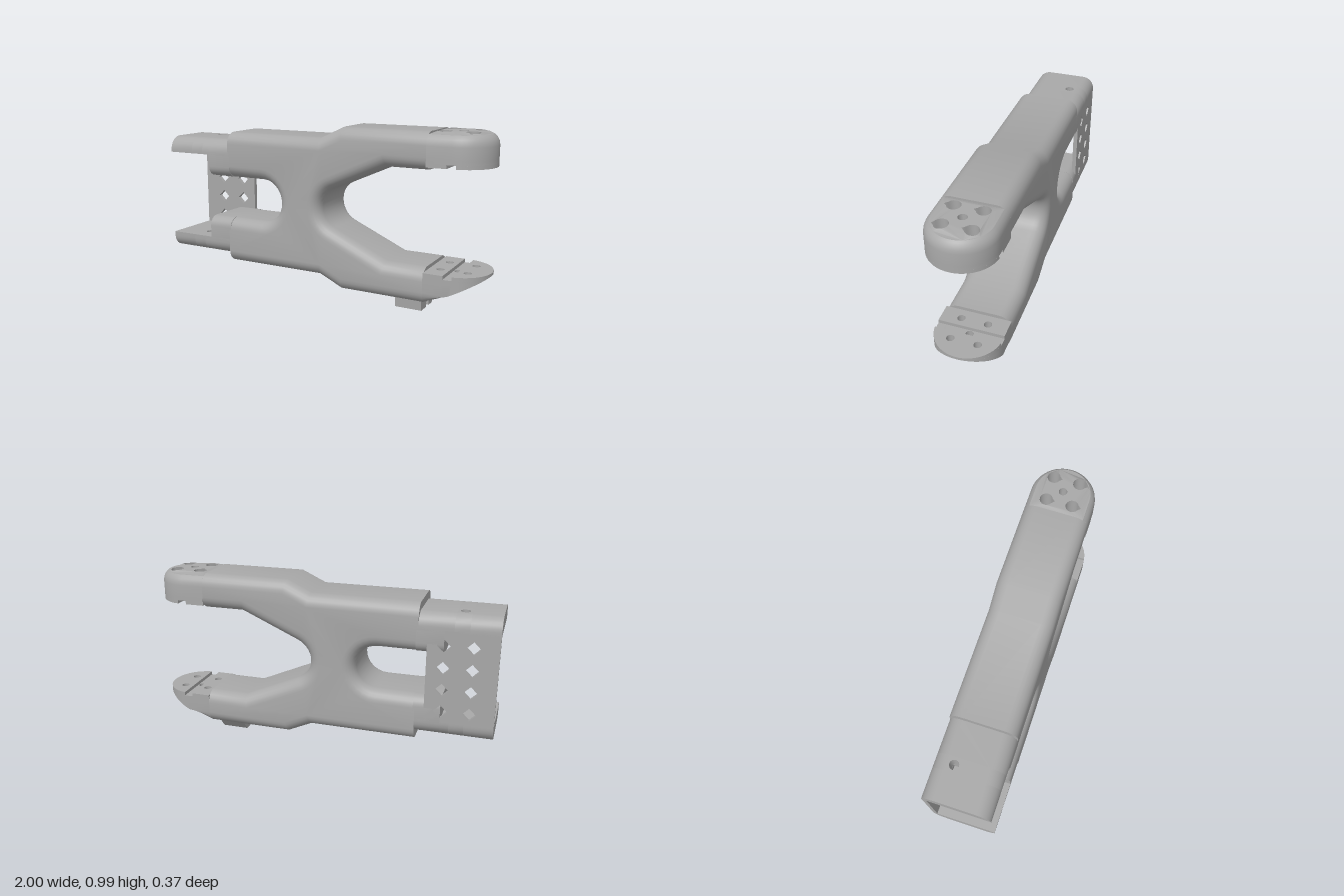
import * as THREE from 'three';
import { toCreasedNormals } from 'three/addons/utils/BufferGeometryUtils.js';

const HALF = 0.185, MID = 0.525, ROUND = 0.07, TIP_X = 0.815, TIP_START = 0.68;
const grey = new THREE.MeshStandardMaterial({ color: 0xa8a8a8 });
grey.name = 'grey plastic';

function part(name, geometry, parent) {
  const mesh = new THREE.Mesh(toCreasedNormals(geometry, 0.5), grey);
  mesh.name = name;
  parent.add(mesh);
  return mesh;
}
const shapeOf = (pts) => new THREE.Shape(pts.map(([a, b]) => new THREE.Vector2(a, b)));

// Section in (-z, y), extruded along x
function extrudeX(shape, x0, x1) {
  return new THREE.ExtrudeGeometry(shape, { depth: x1 - x0, bevelEnabled: false })
    .rotateY(Math.PI / 2).translate(x0, 0, 0);
}
// Plan in (x, -z), extruded along y
function extrudeY(shape, y0, y1) {
  return new THREE.ExtrudeGeometry(shape, { depth: y1 - y0, bevelEnabled: false })
    .rotateX(-Math.PI / 2).translate(0, y0, 0);
}
// Move every vertex by a rule
function bend(geo, rule) {
  const p = geo.attributes.position, v = new THREE.Vector3();
  for (let i = 0; i < p.count; i++) {
    rule(v.fromBufferAttribute(p, i));
    p.setXYZ(i, v.x, v.y, v.z);
  }
  return geo;
}

// Rectangular section with individually rounded corners
function section(y0, y1, z0, z1, rBack, rFront, rBottom) {
  const pts = [];
  [[-z0, y1, rBack, 1, 1], [-z1, y1, rFront, -1, 1], [-z1, y0, rBottom, -1, -1], [-z0, y0, rBottom, 1, -1]]
    .forEach(([u, y, r, su, sy], k) => {
      const n = r ? 6 : 0;
      for (let i = 0; i <= n; i++) {
        const a = (k + (n ? i / n : 0)) * Math.PI / 2;
        pts.push(r ? [u - su * r + r * Math.cos(a), y - sy * r + r * Math.sin(a)] : [u, y]);
      }
    });
  return shapeOf(pts);
}

// Round-ended plan of an arm tip between xa and xb
function tipPlan(R, xa, xb) {
  if (xb < TIP_X) return [[xa, R], [xb, R], [xb, -R], [xa, -R]];
  const a0 = xa > TIP_X ? Math.acos((xa - TIP_X) / R) : Math.PI / 2;
  const pts = [];
  for (let i = 0; i <= 24; i++) {
    const a = a0 - (2 * a0 * i) / 24;
    pts.push([TIP_X + R * Math.cos(a), R * Math.sin(a)]);
  }
  return xa < TIP_X ? [[xa, R], ...pts, [xa, -R]] : pts;
}

// Hole with an optional pointed side
function hole(x, s, r, point = 0) {
  const pts = [];
  for (let i = 0; i < 16; i++) {
    const a = (i / 16) * Math.PI * 2;
    const k = point && i === (point > 0 ? 12 : 4) ? 1.35 : 1;
    pts.push(new THREE.Vector2(x + r * k * Math.cos(a), s + r * k * Math.sin(a)));
  }
  return new THREE.Path(pts);
}
function screwHoles(shape, r, point, x0 = 0, x1 = 1) {
  for (const x of [0.74, 0.89]) for (const s of [-0.075, 0.075])
    if (x > x0 && x < x1) shape.holes.push(hole(x, s, r, point));
  return shape;
}

// Arm tip with grooved seat, screw holes and rounded rim; slope cuts the outer face
function armTip(name, slope, point) {
  const tip = new THREE.Group();
  tip.name = name;
  const cut = (v) => { v.y = Math.min(v.y, 0.985 - slope * (v.x - TIP_START)); };
  const drop = (d) => (d >= ROUND ? 0 : ROUND - Math.sqrt(ROUND ** 2 - (ROUND - d) ** 2));

  for (const [xa, xb] of [[TIP_START, 0.79], [0.84, 1]])
    part('seatPad', bend(extrudeY(screwHoles(shapeOf(tipPlan(HALF, xa, xb)), 0.022, 0, xa, xb), 0.805, 0.825), cut), tip);

  const plate = screwHoles(shapeOf(tipPlan(HALF, TIP_START, 1)), 0.022, 0);
  plate.holes.push(hole(TIP_X, 0, 0.022));
  part('seatPlate', bend(extrudeY(plate, 0.825, 0.845), cut), tip);

  const lid = screwHoles(shapeOf(tipPlan(HALF - 0.03, TIP_START, 1)), 0.037, point);
  lid.holes.push(hole(TIP_X, 0, 0.024));
  part('tipCore', bend(extrudeY(lid, 0.845, 0.985), (v) => {
    if (v.y > 0.95) v.y -= drop(HALF - Math.hypot(Math.max(0, v.x - TIP_X), v.z));
    cut(v);
  }), tip);

  const rows = [[0, 0.845], ...[0, 0.003, 0.01, 0.02, 0.03].map((d) => [d, 0.985 - drop(d)])];
  const pos = [], idx = [];
  let n = 0;
  rows.forEach(([d, y], j) => {
    const pts = tipPlan(HALF - d, TIP_START, 1);
    n = pts.length;
    pts.forEach(([x, s], i) => {
      pos.push(x, y, -s);
      if (j < rows.length - 1 && i < n - 1) {
        const a = j * n + i;
        idx.push(a, a + n, a + 1, a + 1, a + n, a + n + 1);
      }
    });
  });
  const rim = new THREE.BufferGeometry();
  rim.setAttribute('position', new THREE.Float32BufferAttribute(pos, 3));
  rim.setIndex(idx);
  part('tipRim', bend(rim, cut), tip);
  return tip;
}

// Upper flange and arm stub behind the step
function rearFlange(name) {
  const g = new THREE.Group();
  g.name = name;
  const y0 = 0.78, y1 = 0.875;
  part('flangeEnd', extrudeX(section(y0, y1, -HALF, HALF, 0.07, 0.08, 0), -1, -0.84), g);
  part('flangeInner', extrudeX(section(y0, y1, -HALF, HALF, 0.07, 0.08, 0), -0.76, -0.56), g);
  part('flangeBack', extrudeX(section(y0, y1, -HALF, -0.115, 0.07, 0, 0), -0.84, -0.76), g);
  part('flangeFront', extrudeX(section(y0, y1, -0.035, HALF, 0, 0.08, 0), -0.84, -0.76), g);
  const boss = shapeOf([[-0.84, 0.035], [-0.76, 0.035], [-0.76, 0.115], [-0.84, 0.115]]);
  boss.holes.push(hole(-0.8, 0.075, 0.026));
  part('flangeHole', extrudeY(boss, y0, y1), g);
  part('armStub', extrudeX(section(0.65, y1, -HALF, HALF, 0.07, 0.08, 0.06), -0.71, -0.56), g);
  return g;
}

// Turn an upper part over to make the lower one
function toLower(g) {
  g.rotation.x = Math.PI;
  g.position.y = 2 * MID;
  return g;
}

export function createModel() {
  const model = new THREE.Group();
  model.name = 'forkFrame';

  // Forked body: half outline mirrored about the middle line
  const upper = [[-0.75, 0.92], [0.04, 0.92], [0.18, 0.985], [0.86, 0.985], [0.86, 0.785], [0.45, 0.785]];
  const throat = [], slot = [];
  for (let i = 0; i <= 14; i++) {
    const a = THREE.MathUtils.degToRad(114 + (132 * i) / 14);
    throat.push([0.17 + 0.125 * Math.cos(a), MID + 0.125 * Math.sin(a)]);
    const b = -Math.PI / 2 + (Math.PI * i) / 14;
    slot.push([-0.345 + 0.125 * Math.cos(b), MID + 0.125 * Math.sin(b)]);
  }
  const lower = upper.map(([x, y]) => [x, 2 * MID - y]).reverse();
  const outline = shapeOf([...upper, ...throat, ...lower, [-0.75, 0.4], ...slot, [-0.75, 0.65]]);
  const body = new THREE.ExtrudeGeometry(outline, {
    depth: 2 * (HALF - ROUND), bevelEnabled: true, bevelSize: ROUND, bevelThickness: ROUND,
    bevelOffset: -ROUND, bevelSegments: 6,
  }).translate(0, 0, ROUND - HALF);
  part('body', bend(body, (v) => { v.x = THREE.MathUtils.clamp(v.x, -0.57, TIP_START); }), model);

  // Arm tips
  model.add(armTip('upperTip', 0, 1), toLower(armTip('lowerTip', 0.515, -1)));

  // Rear channel: flanges and perforated back plate
  model.add(rearFlange('upperFlange'), toLower(rearFlange('lowerFlange')));
  const plate = shapeOf([[-1, 0.26], [-0.62, 0.26], [-0.62, 0.79], [-1, 0.79]]);
  for (const x of [-0.865, -0.71]) for (const y of [0.33, 0.455, 0.58, 0.705]) {
    const r = 0.038;
    plate.holes.push(new THREE.Path([[x + r, y], [x, y + r], [x - r, y], [x, y - r]]
      .map(([a, b]) => new THREE.Vector2(a, b))));
  }
  part('backPlate', new THREE.ExtrudeGeometry(plate, { depth: 0.025, bevelEnabled: false })
    .translate(0, 0, -HALF), model);

  // Cable hooks under the lower arm, drawn in (-z, y)
  const hooks = {
    frontHook: [[-0.1, 0.075], [-0.095, 0], [-0.02, 0], [-0.02, 0.022], [-0.042, 0.045], [-0.035, 0.075]],
    backHook: [[0.125, 0.075], [0.065, 0], [0.015, 0], [0.015, 0.022], [0.042, 0.045], [0.035, 0.075]],
  };
  for (const [name, pts] of Object.entries(hooks)) part(name, extrudeX(shapeOf(pts), 0.49, 0.645), model);

  return model;
}
